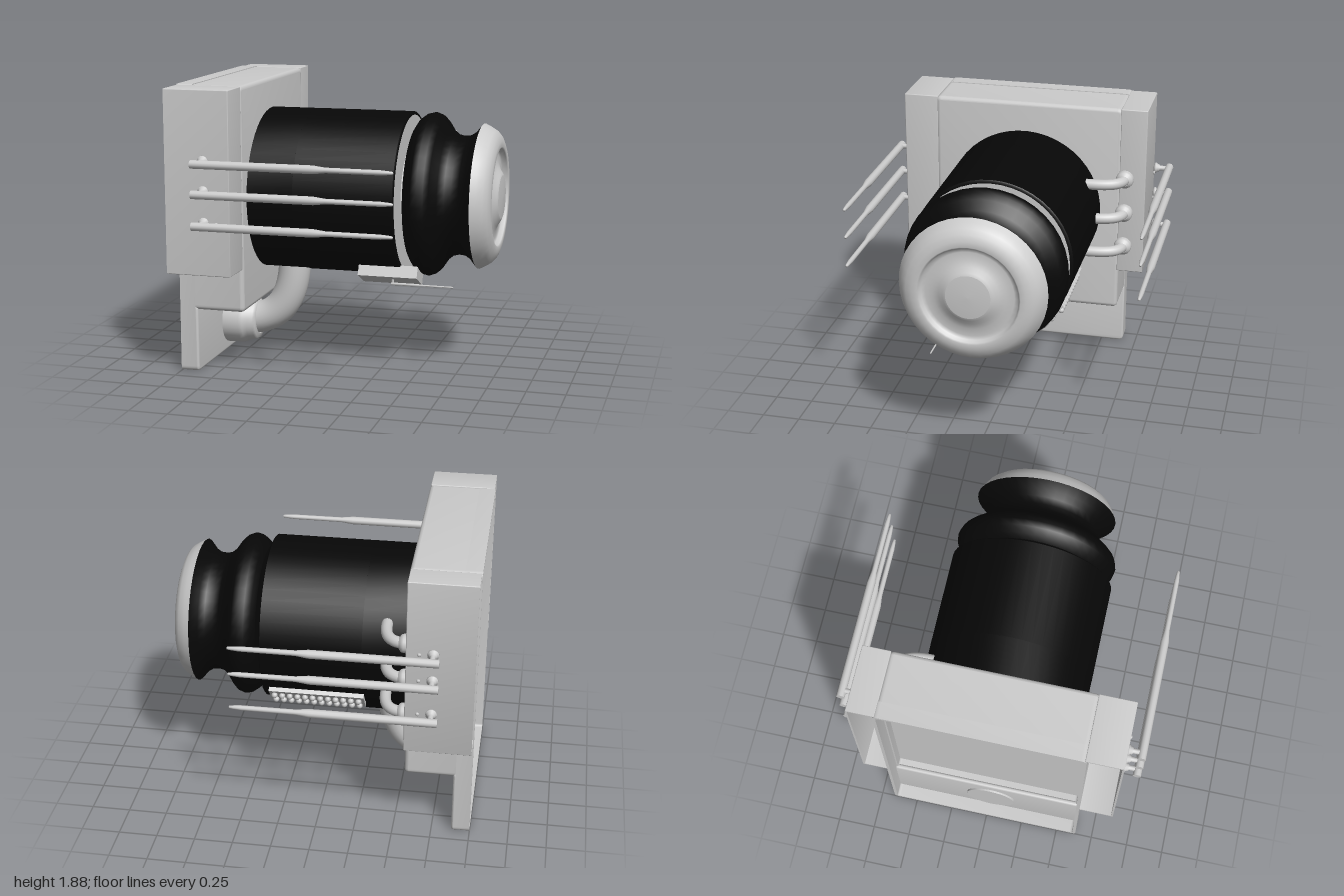
import * as THREE from 'three';
import { toCreasedNormals } from 'three/addons/utils/BufferGeometryUtils.js';

const grey = new THREE.MeshStandardMaterial({ color: 0xcccccc, side: THREE.DoubleSide });
const black = new THREE.MeshStandardMaterial({ color: 0x070707, side: THREE.DoubleSide });
const AXIS_Y = 1.14, AXIS_Z = 0.015, BARREL_R = 0.535;
const V = (x, y, z) => new THREE.Vector3(x, y, z);

function add(parent, name, geometry, material = grey) {
  const mesh = new THREE.Mesh(geometry, material);
  mesh.name = name;
  parent.add(mesh);
  return mesh;
}

// Turned part along x; profile is [x, radius], a repeated point makes a hard edge
function turned(profile, segments = 40) {
  const points = profile.map(([x, r]) => new THREE.Vector2(r, x));
  return new THREE.LatheGeometry(points, segments).rotateZ(-Math.PI / 2);
}

// Rounded rectangle outline; the shape's x is -z of the model
function outline(target, z0, z1, y0, y1, r) {
  const a = -z1, b = -z0;
  target.moveTo(a + r, y0);
  target.lineTo(b - r, y0);
  target.quadraticCurveTo(b, y0, b, y0 + r);
  target.lineTo(b, y1 - r);
  target.quadraticCurveTo(b, y1, b - r, y1);
  target.lineTo(a + r, y1);
  target.quadraticCurveTo(a, y1, a, y1 - r);
  target.lineTo(a, y0 + r);
  target.quadraticCurveTo(a, y0, a + r, y0);
  return target;
}

// Extrude an outline along x from x0 to x1 with softened edges
function extrudeX(shape, x0, x1, bevel = 0) {
  const g = new THREE.ExtrudeGeometry(shape, {
    depth: x1 - x0 - 2 * bevel, bevelEnabled: bevel > 0, bevelSize: bevel,
    bevelThickness: bevel, bevelOffset: -bevel, bevelSegments: 3, curveSegments: 5,
  });
  return toCreasedNormals(g.rotateY(Math.PI / 2).translate(x0 + bevel, 0, 0), 0.6);
}

// Tray open towards -x: a rim and a front wall that reaches up to wallTop
function tray(parent, name, z0, z1, y0, y1, x0, x1, r, wall, bevel, wallTop = y1) {
  const group = new THREE.Group();
  group.name = name;
  parent.add(group);
  const rim = outline(new THREE.Shape(), z0, z1, y0, y1, r);
  rim.holes.push(outline(new THREE.Path(), z0 + wall, z1 - wall, y0 + wall, y1 - wall, r * 0.6));
  const front = outline(new THREE.Shape(), z0, z1, y0, wallTop, r);
  add(group, name + 'Rim', extrudeX(rim, x0, x1 - bevel));
  add(group, name + 'Wall', extrudeX(front, x1 - 2.2 * bevel, x1, bevel));
}

function buildHousing(root) {
  const g = new THREE.Group();
  g.name = 'housing';
  root.add(g);
  tray(g, 'backPlate', -0.66, 0.635, 0, 1.88, -1, -0.88, 0.035, 0.02, 0.015, 0.45);
  tray(g, 'mainBox', -0.655, 0.635, 0.415, 1.875, -0.9, -0.565, 0.035, 0.025, 0.025);
  add(g, 'backPanel', extrudeX(outline(new THREE.Shape(), -0.645, 0.625, 0.425, 1.865, 0.03), -0.84, -0.82));
  tray(g, 'leftWing', 0.625, 0.86, 0.7, 1.875, -0.995, -0.57, 0.006, 0.012, 0.006);
  tray(g, 'rightWing', -0.825, -0.645, 0.7, 1.875, -0.995, -0.57, 0.006, 0.012, 0.006);
}

function buildBarrel(root) {
  const g = new THREE.Group();
  g.name = 'barrel';
  g.position.set(0, AXIS_Y, AXIS_Z);
  root.add(g);
  const R = BARREL_R;
  add(g, 'barrelFront', turned([[-0.262, 0], [-0.262, R], [-0.262, R], [0.39, R], [0.39, R],
    [0.397, R - 0.008], [0.397, R - 0.022]], 48), black);
  add(g, 'barrelFace', turned([[0.397, R - 0.022], [0.397, 0]], 48));

  // Rear section, flattened underneath with a corner on the right
  const flat = -0.505, start = -0.94, sweep = Math.PI * 2 - 1.24 - start, pts = [];
  for (let i = 0; i <= 46; i++) {
    const a = start + (i / 46) * sweep;
    pts.push(new THREE.Vector2(R * Math.cos(a), Math.max(flat, R * Math.sin(a))));
  }
  pts.push(new THREE.Vector2(0.258, flat));
  add(g, 'barrelRear', extrudeX(new THREE.Shape(pts), -0.57, -0.262), black);

  // Neck, waisted head and end cap
  add(g, 'neck', turned([[0.39, 0.335], [0.405, 0.325], [0.44, 0.29]]));
  add(g, 'head', turned([[0.435, 0], [0.435, 0.455], [0.435, 0.455], [0.46, 0.495], [0.5, 0.525],
    [0.54, 0.535], [0.58, 0.52], [0.61, 0.49], [0.65, 0.43], [0.69, 0.397], [0.73, 0.387],
    [0.78, 0.392], [0.82, 0.417], [0.865, 0.472]]), black);
  add(g, 'endCap', turned([[0.865, 0.472], [0.9, 0.455], [0.94, 0.43], [0.965, 0.4], [0.98, 0.36],
    [0.982, 0.325], [0.975, 0.315], [0.95, 0.305], [0.945, 0.28], [0.95, 0.23], [0.965, 0.19],
    [0.985, 0.16], [0.992, 0.142], [0.992, 0.142], [0.998, 0.08], [1, 0]]));
}

function buildTerminalStrip(root) {
  const g = new THREE.Group();
  g.name = 'terminalStrip';
  g.position.set(0.04, AXIS_Y, AXIS_Z);
  g.rotation.x = THREE.MathUtils.degToRad(-133); // local +y points down and to the right
  root.add(g);
  add(g, 'stripPlate', new THREE.BoxGeometry(0.62, 0.05, 0.18).translate(0, 0.53, 0));
  for (const z of [-0.045, 0.045])
    for (let i = 0; i < 12; i++) {
      const x = -0.275 + i * 0.05;
      add(g, 'terminalStem', new THREE.CylinderGeometry(0.012, 0.012, 0.025, 8)).position.set(x, 0.56, z);
      add(g, 'terminal', new THREE.SphereGeometry(0.02, 10, 8)).position.set(x, 0.567, z);
    }
}

function buildSwitch(root) {
  const box = add(root, 'switchBox', new THREE.BoxGeometry(0.39, 0.08, 0.18));
  box.position.set(0.315, 0.645, 0.265);
  box.rotation.x = -0.45;
  add(root, 'switchPivot', new THREE.CylinderGeometry(0.008, 0.008, 0.03, 8)).position.set(0.345, 0.608, 0.325);
  add(root, 'switchLever', turned([[0.335, 0], [0.335, 0.009], [0.5, 0.009], [0.55, 0.006], [0.74, 0.005], [0.745, 0]], 8))
    .position.set(0, 0.597, 0.33);
}

function buildPipes(root) {
  // Large elbow and its socket, whose end shows inside the back plate
  const bend = new THREE.CubicBezierCurve3(
    V(-0.74, 0.22, AXIS_Z), V(-0.49, 0.23, AXIS_Z), V(-0.41, 0.42, AXIS_Z), V(-0.41, 0.7, AXIS_Z));
  add(root, 'elbowPipe', new THREE.TubeGeometry(bend, 24, 0.108, 24));
  add(root, 'pipeSocket', turned([[-0.925, 0], [-0.925, 0.165], [-0.925, 0.165], [-0.88, 0.17], [-0.77, 0.168],
    [-0.745, 0.16], [-0.72, 0.145], [-0.68, 0.14], [-0.665, 0.13], [-0.66, 0.1]], 32))
    .position.set(0, 0.215, AXIS_Z);
  // Three small hoses from the right wing into the barrel
  for (const y of [1.385, 1.14, 0.895]) {
    const hose = new THREE.CubicBezierCurve3(
      V(-0.58, y, -0.685), V(-0.46, y, -0.69), V(-0.415, y, -0.62), V(-0.415, y, -0.445));
    add(root, 'hose', new THREE.TubeGeometry(hose, 16, 0.036, 14));
    add(root, 'hoseFlange', turned([[-0.575, 0.06], [-0.545, 0.06], [-0.53, 0.055], [-0.515, 0.036]], 20))
      .position.set(0, y, -0.685);
  }
}

function buildRods(root) {
  const rod = turned([[-0.785, 0], [-0.785, 0.027], [-0.785, 0.027], [0, 0.027], [0.08, 0.017],
    [0.42, 0.016], [0.47, 0.012], [0.495, 0.009], [0.5, 0]], 12);
  // Mount profile runs outward from the wing along +x, turned to face z
  const mount = turned([[0, 0], [0, 0.025], [0.008, 0.037], [0.016, 0.036], [0.025, 0.026],
    [0.036, 0.024], [0.042, 0.017], [0.08, 0.017]], 14);
  const sides = [
    { sign: 1, base: 0.855, z: 0.955, heights: [1.425, 1.235, 1.035] },
    { sign: -1, base: -0.857, z: -0.957, heights: [1.415, 1.235, 1] },
  ];
  for (const { sign, base, z, heights } of sides)
    for (const y of heights) {
      const g = new THREE.Group();
      g.name = sign > 0 ? 'leftRod' : 'rightRod';
      g.position.y = y;
      root.add(g);
      add(g, 'rod', rod).position.z = z;
      const m = add(g, 'rodMount', mount);
      m.position.set(-0.74, 0.005, base);
      m.rotation.y = -sign * Math.PI / 2;
      const bolt = add(g, 'bolt', new THREE.SphereGeometry(0.013, 8, 6));
      bolt.position.set(-0.655, 0, base + sign * 0.012);
      bolt.scale.z = 0.6;
    }
}

export function createModel() {
  const root = new THREE.Group();
  root.name = 'pumpUnit';
  buildHousing(root);
  buildBarrel(root);
  buildTerminalStrip(root);
  buildSwitch(root);
  buildPipes(root);
  buildRods(root);
  return root;
}
